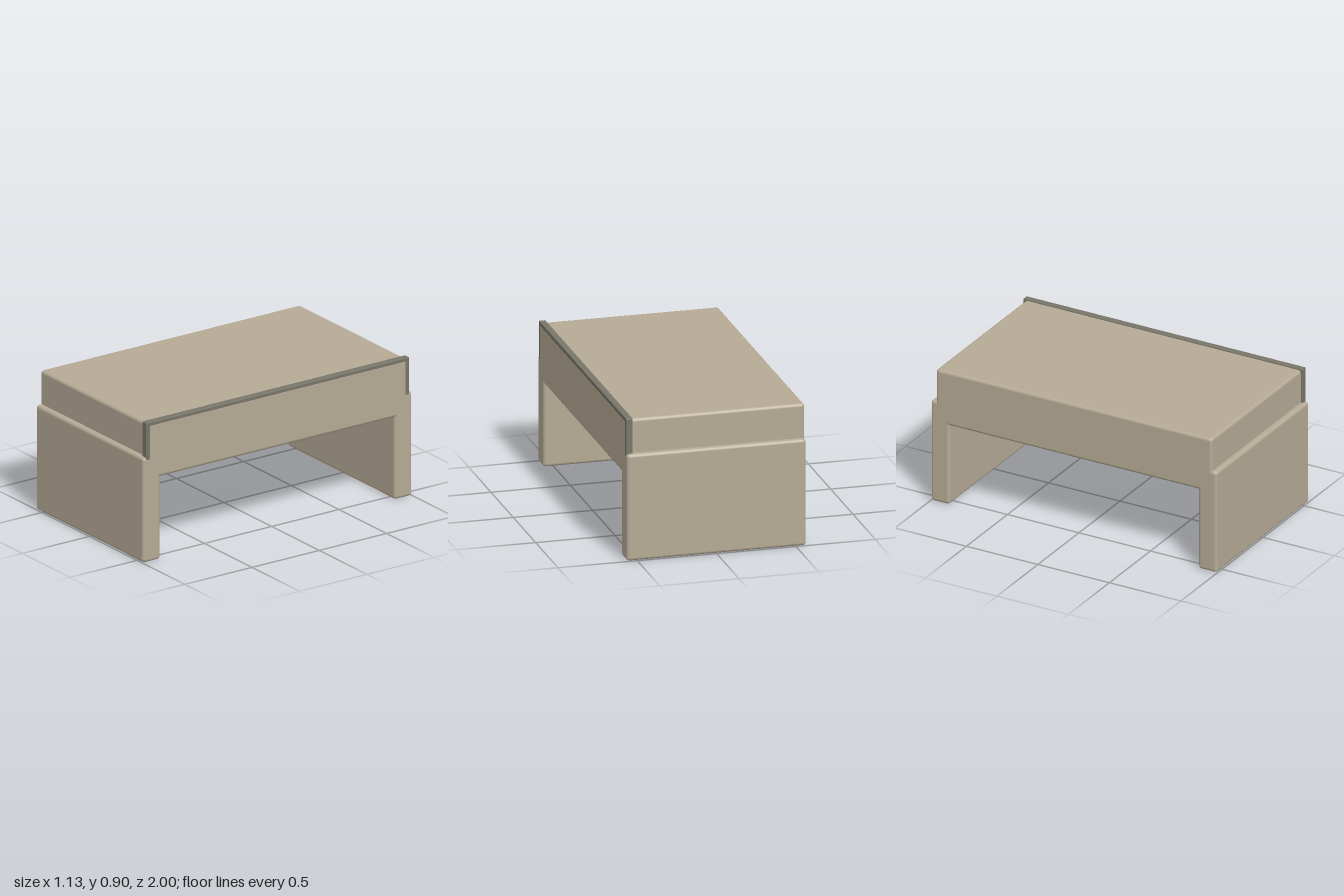
import * as THREE from 'three';
import { RoundedBoxGeometry } from 'three/addons/geometries/RoundedBoxGeometry.js';

const upholstery = new THREE.MeshStandardMaterial({ color: 0xb5aa95 });
const darkTrim = new THREE.MeshStandardMaterial({ color: 0x78756a });

// Softly bevelled box given by its [min, max] extents on each axis
function block(name, [x0, x1], [y0, y1], [z0, z1], radius, material) {
  const geometry = new RoundedBoxGeometry(x1 - x0, y1 - y0, z1 - z0, 2, radius);
  const mesh = new THREE.Mesh(geometry, material);
  mesh.position.set((x0 + x1) / 2, (y0 + y1) / 2, (z0 + z1) / 2);
  mesh.name = name;
  return mesh;
}

export function createModel() {
  const group = new THREE.Group();
  group.name = 'bench';

  // Thick top slab
  group.add(block('topSlab', [-0.565, 0.565], [0.535, 0.897], [-0.965, 0.965], 0.02, upholstery));

  // Slab-sided legs at both ends
  group.add(block('frontLeg', [-0.565, 0.565], [0, 0.68], [0.87, 1], 0.02, upholstery));
  group.add(block('backLeg', [-0.565, 0.565], [0, 0.68], [-1, -0.87], 0.02, upholstery));

  // Dark edging along the left side, just proud of the slab's top and ends
  group.add(block('edgeTrim', [0.522, 0.564], [0.56, 0.905], [-0.977, 0.977], 0.005, darkTrim));

  return group;
}
